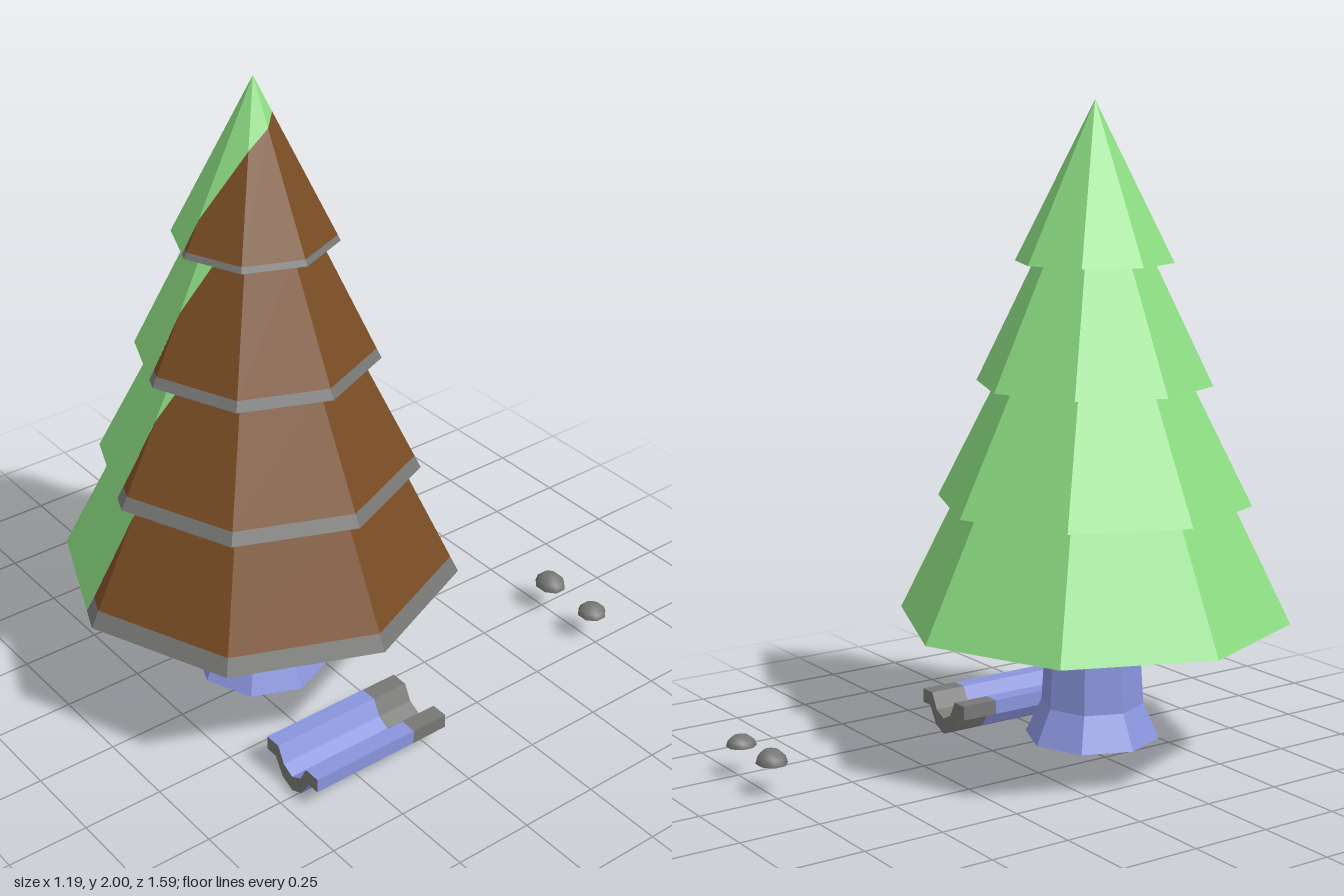
import * as THREE from 'three';

const mat = (name, color) => {
  const m = new THREE.MeshStandardMaterial({ color });
  m.name = name;
  return m;
};

export function createModel() {
  const green = mat('leaf green', 0x8cdc82);
  const brown = mat('bark brown', 0x784c23);
  const grey = mat('stone grey', 0x777776);
  const blue = mat('pale blue', 0x8994dc);
  const model = new THREE.Group();
  const tree = new THREE.Group();
  tree.name = 'tree';
  tree.position.z = 0.2;
  model.add(tree);

  const add = (parent, name, geometry, material) => {
    const mesh = new THREE.Mesh(geometry, material);
    mesh.name = name;
    parent.add(mesh);
    return mesh;
  };
  // corner k of an octagon, counted from the front towards +x
  const corner = (k, r, y) => {
    const a = k * Math.PI / 4;
    return new THREE.Vector3(r * Math.sin(a), y, r * Math.cos(a));
  };
  // flat-shaded mesh from convex polygons
  const addPolygons = (parent, name, polygons, material) => {
    const pos = [];
    for (const p of polygons)
      for (let i = 1; i < p.length - 1; i++) {
        const t = new THREE.Triangle(p[0], p[i], p[i + 1]);
        if (t.getArea() < 1e-8) continue;
        for (const v of [t.a, t.b, t.c]) pos.push(v.x, v.y, v.z);
      }
    const g = new THREE.BufferGeometry();
    g.setAttribute('position', new THREE.Float32BufferAttribute(pos, 3));
    g.computeVertexNormals();
    return add(parent, name, g, material);
  };

  // y0, y1: bottom and top; r0, r1: radii there; under: inner radius of the underside
  // rim: grey edge height; b, cut, c: where the slanting colour border starts,
  // crosses the front edge and leaves at the top; heights: border on a closed tip
  const tiers = [
    { y0: 0.46, y1: 0.815, r0: 0.595, r1: 0.42, under: 0, rim: 0.05, b: 0.81, cut: 0.775, c: 0.03 },
    { y0: 0.815, y1: 1.17, r0: 0.475, r1: 0.295, under: 0.42, rim: 0.038, b: 0.82, cut: 1.06, c: 0.17 },
    { y0: 1.17, y1: 1.53, r0: 0.355, r1: 0.18, under: 0.295, rim: 0.03, b: 0.83, cut: 1.37, c: 0.4 },
    { y0: 1.53, y1: 2, r0: 0.237, r1: 0, under: 0.18, rim: 0.017, b: 0.84, cut: 1.63, heights: [1.63, 1.82, 1.87, 1.9] },
  ];

  tiers.forEach((T, n) => {
    const { y0, y1, r0, r1, rim, b, cut, c, heights } = T;
    const g = [], br = [], gr = [];
    const yr = y0 + rim;
    // polygon on side k, given as (fraction across, height) pairs
    const side = (k, pts) => pts.map(([t, y]) => {
      const r = THREE.MathUtils.mapLinear(y, y0, y1, r0, r1);
      return corner(k, r, y).lerp(corner(k + 1, r, y), t);
    });
    for (let k = 0; k < 8; k++) {
      if (k === 7) {
        const b2 = b + (1 - b) * rim / (cut - y0);
        gr.push(side(k, [[b, y0], [1, y0], [1, yr], [b2, yr]]));
        br.push(side(k, [[b2, yr], [1, yr], [1, cut]]));
        g.push(side(k, [[0, y0], [b, y0], [1, cut], [1, y1], [0, y1]]));
      } else if (k > 2) {
        g.push(side(k, [[0, y0], [1, y0], [1, y1], [0, y1]]));
      } else {
        gr.push(side(k, [[0, y0], [1, y0], [1, yr], [0, yr]]));
        if (heights) {
          const [h0, h1] = [heights[k], heights[k + 1]];
          br.push(side(k, [[0, yr], [1, yr], [1, h1], [0, h0]]));
          g.push(side(k, [[0, h0], [1, h1], [1, y1], [0, y1]]));
        } else if (k === 0) {
          br.push(side(k, [[0, yr], [1, yr], [1, y1], [c, y1], [0, cut]]));
          g.push(side(k, [[0, cut], [c, y1], [0, y1]]));
        } else {
          br.push(side(k, [[0, yr], [1, yr], [1, y1], [0, y1]]));
        }
      }
      // underside
      (k < 3 ? br : g).push([corner(k, r0, y0), corner(k, T.under, y0),
        corner(k + 1, T.under, y0), corner(k + 1, r0, y0)]);
    }
    const tier = new THREE.Group();
    tier.name = 'foliageTier' + (n + 1);
    tree.add(tier);
    addPolygons(tier, 'greenFoliage', g, green);
    addPolygons(tier, 'brownFoliage', br, brown);
    addPolygons(tier, 'greyRim', gr, grey);
  });

  // flared trunk
  const trunk = [[0, 0.085], [0.206, 0.085], [0.157, 0.19], [0.14, 0.46]];
  const trunkSides = [];
  for (let k = 0; k < 8; k++)
    for (let i = 0; i < trunk.length - 1; i++) {
      const [[ra, ya], [rb, yb]] = [trunk[i], trunk[i + 1]];
      trunkSides.push([corner(k, ra, ya), corner(k + 1, ra, ya), corner(k + 1, rb, yb), corner(k, rb, yb)]);
    }
  addPolygons(tree, 'trunk', trunkSides, blue);

  // trough: mirrored cross-section run along z, blue with grey ends
  const half = [[0, 0], [0.045, 0.02], [0.08, 0.075], [0.12, 0.075], [0.12, 0.12], [0.066, 0.12], [0.04, 0.07], [0, 0.05]];
  const mirrored = half.slice(1, -1).reverse().map(([x, y]) => [-x, y]);
  const section = new THREE.Shape([...half, ...mirrored].map(([x, y]) => new THREE.Vector2(x, y)));
  const trough = new THREE.Group();
  trough.name = 'trough';
  trough.position.x = 0.477;
  model.add(trough);
  for (const [name, z0, z1, m] of [['troughBody', 0.085, 0.44, [grey, blue]], ['troughBack', -0.035, 0.085, grey]]) {
    const geo = new THREE.ExtrudeGeometry(section, { depth: z1 - z0, bevelEnabled: false });
    add(trough, name, geo, m).position.z = z0;
  }

  // two small domed stones
  for (const [name, x, rx, h] of [['largeStone', 0.282, 0.054, 0.044], ['smallStone', 0.475, 0.046, 0.035]]) {
    const stone = new THREE.Group();
    stone.name = name;
    stone.position.set(x, 0.1, -0.75);
    stone.scale.set(rx, h, 0.046);
    model.add(stone);
    add(stone, 'dome', new THREE.SphereGeometry(1, 8, 3, Math.PI / 8, Math.PI * 2, 0, Math.PI / 2), grey);
    const base = add(stone, 'base', new THREE.CircleGeometry(1, 8, Math.PI / 8), grey);
    base.rotation.x = Math.PI / 2;
  }
  return model;
}
